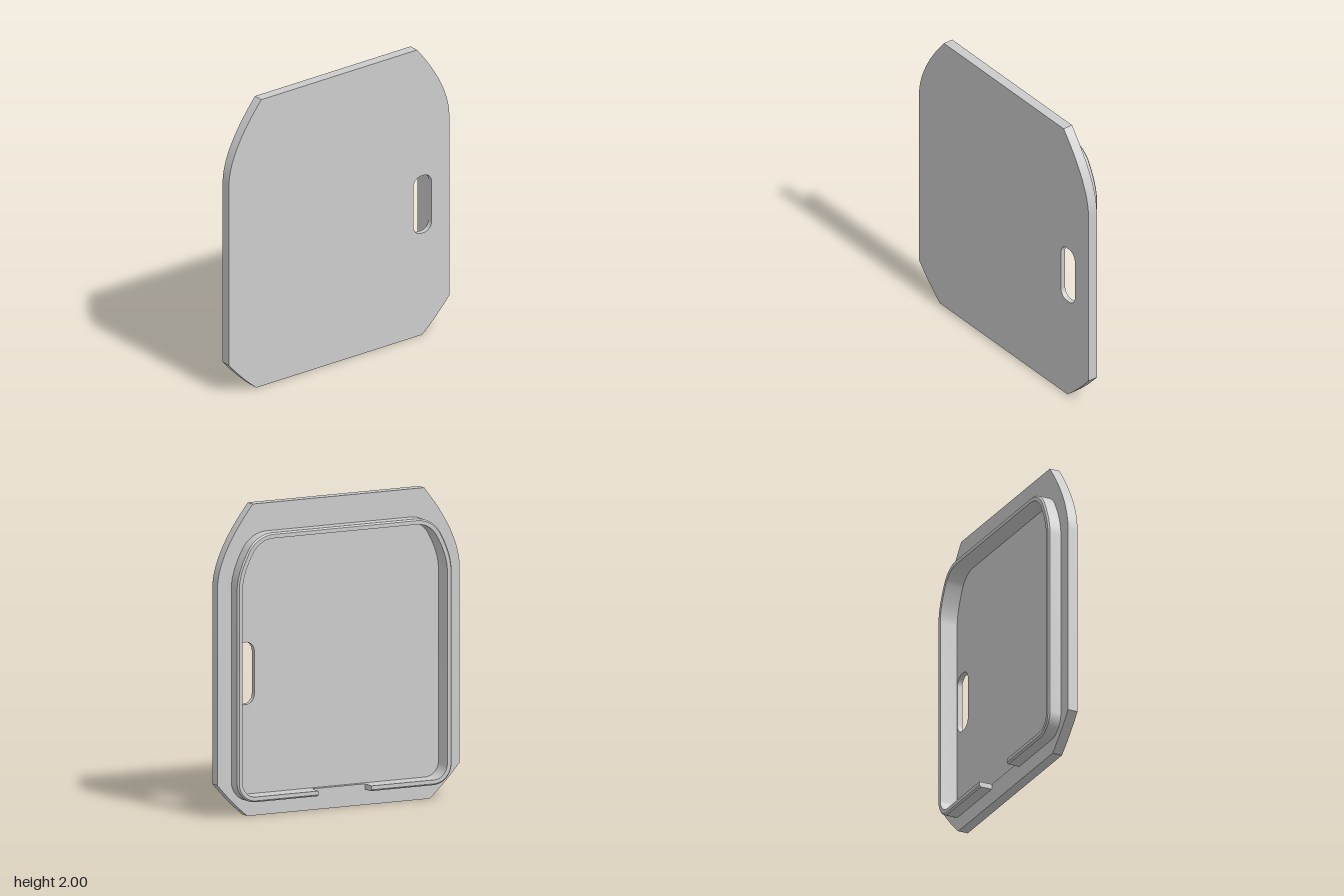
import * as THREE from 'three';
import { mergeGeometries, toCreasedNormals } from 'three/addons/utils/BufferGeometryUtils.js';

// Depth levels, front to back
const FRONT = 0.077, FLOOR = 0.043, SEAT = 0.01, BACK = -0.077;
const WALL = 0.035, NOTCH = 0.19, RIM_BOTTOM = 0.1, SEGMENTS = 20;
const material = new THREE.MeshStandardMaterial({ color: 0xcccccc });

// Right shoulder of the plate; the rim follows it at a constant distance
const shoulder = new THREE.QuadraticBezierCurve(
  new THREE.Vector2(0.87, 1.47), new THREE.Vector2(0.87, 1.69), new THREE.Vector2(0.615, 2));

function addMesh(group, name, geometry) {
  const mesh = new THREE.Mesh(toCreasedNormals(geometry, 0.45), material);
  mesh.name = name;
  group.add(mesh);
}

// Joins rows of points into a surface; extra holds the triangles of any end faces
function loft(rows, extra = []) {
  const n = rows[0].length, index = [...extra];
  for (let j = 0; j < rows.length - 1; j++) {
    for (let i = 0; i < n - 1; i++) {
      const a = j * n + i, b = a + n;
      index.push(a, b, a + 1, b, b + 1, a + 1);
    }
  }
  const g = new THREE.BufferGeometry();
  g.setAttribute('position', new THREE.Float32BufferAttribute(rows.flat(2), 3));
  g.setIndex(index);
  g.computeVertexNormals();
  return g;
}

// Upright wall along a 2D path, facing the right-hand side of travel
const wall = (points, z0, z1) => loft([z0, z1].map(z => points.map(p => [p.x, p.y, z])));

// Flat face at depth z, facing the front or the back
function face(shape, holes, z, toBack) {
  const s = shape.clone();
  s.holes = holes;
  const g = new THREE.ShapeGeometry(s, SEGMENTS).translate(0, 0, z);
  g.deleteAttribute('uv');
  if (toBack) {
    g.index.array.reverse();
    g.computeVertexNormals();
  }
  return g;
}

// Rim outline inset by d, running from one side of the bottom notch to the other
function rimOutline(d) {
  const half = [[NOTCH, RIM_BOTTOM + d]];
  const arc = (cx, cy, r, a0, a1, n) => {
    for (let i = 0; i <= n; i++) {
      const a = a0 + (a1 - a0) * i / n;
      half.push([cx + (r - d) * Math.cos(a), cy + (r - d) * Math.sin(a)]);
    }
  };
  arc(0.64, 0.23, 0.13, -Math.PI / 2, 0, 12);
  for (let i = 0; i < 12; i++) {
    const t = 0.6 * i / 12, p = shoulder.getPoint(t), v = shoulder.getTangent(t);
    half.push([p.x - v.y * (0.1 + d), p.y + v.x * (0.1 + d)]);
  }
  arc(0.516, 1.62, 0.2, 0.509, Math.PI / 2, 12);
  return [...half, ...half.map(([x, y]) => [-x, y]).reverse()];
}

// Cover plate with curved shoulders, clipped lower corners, a slot and a recessed back
function plateGeometry() {
  const outline = new THREE.Shape();
  outline.moveTo(-0.655, 0);
  outline.lineTo(0.655, 0);
  outline.quadraticCurveTo(0.772, 0.098, 0.87, 0.215);
  outline.lineTo(0.87, 1.47);
  outline.quadraticCurveTo(0.87, 1.69, 0.615, 2);
  outline.lineTo(-0.615, 2);
  outline.quadraticCurveTo(-0.87, 1.69, -0.87, 1.47);
  outline.lineTo(-0.87, 0.215);
  outline.quadraticCurveTo(-0.772, 0.098, -0.655, 0);

  const x0 = 0.587, x1 = 0.73, y0 = 0.71, y1 = 1.11, r = 0.062;
  const slot = new THREE.Path();
  slot.absarc(x1 - r, y0 + r, r, -Math.PI / 2, 0, false);
  slot.absarc(x1 - r, y1 - r, r, 0, Math.PI / 2, false);
  slot.absarc(x0 + r, y1 - r, r, Math.PI / 2, Math.PI, false);
  slot.absarc(x0 + r, y0 + r, r, Math.PI, Math.PI * 1.5, false);
  slot.closePath();

  const recess = new THREE.Shape(rimOutline(WALL).map(([x, y]) => new THREE.Vector2(x, y)));
  const step = [NOTCH, -NOTCH].map(x => new THREE.Vector2(x, RIM_BOTTOM + WALL));

  return mergeGeometries([
    face(outline, [slot], FRONT, false),
    face(outline, [recess], SEAT, true),
    face(recess, [slot], FLOOR, true),
    wall(outline.getPoints(SEGMENTS), FRONT, SEAT),
    wall(slot.getPoints(SEGMENTS).reverse(), FRONT, FLOOR),
    wall(step, FLOOR, SEAT),
  ]);
}

// Raised rim: a wall section with a chamfered outer lip, reaching down to the recessed floor
function rimGeometry() {
  const section = [[0, SEAT], [0, BACK + 0.01], [0.01, BACK], [WALL, BACK], [WALL, FLOOR]];
  const rows = section.map(([d, z]) => rimOutline(d).map(([x, y]) => [x, y, z]));
  const n = rows[0].length, ends = [];
  // End faces beside the notch
  for (let j = 1; j < rows.length - 1; j++) {
    ends.push(0, (j + 1) * n, j * n);
    ends.push(n - 1, j * n + n - 1, (j + 1) * n + n - 1);
  }
  return loft(rows, ends);
}

export function createModel() {
  const group = new THREE.Group();
  group.name = 'coverPlate';
  addMesh(group, 'plate', plateGeometry());
  addMesh(group, 'backRim', rimGeometry());
  return group;
}
